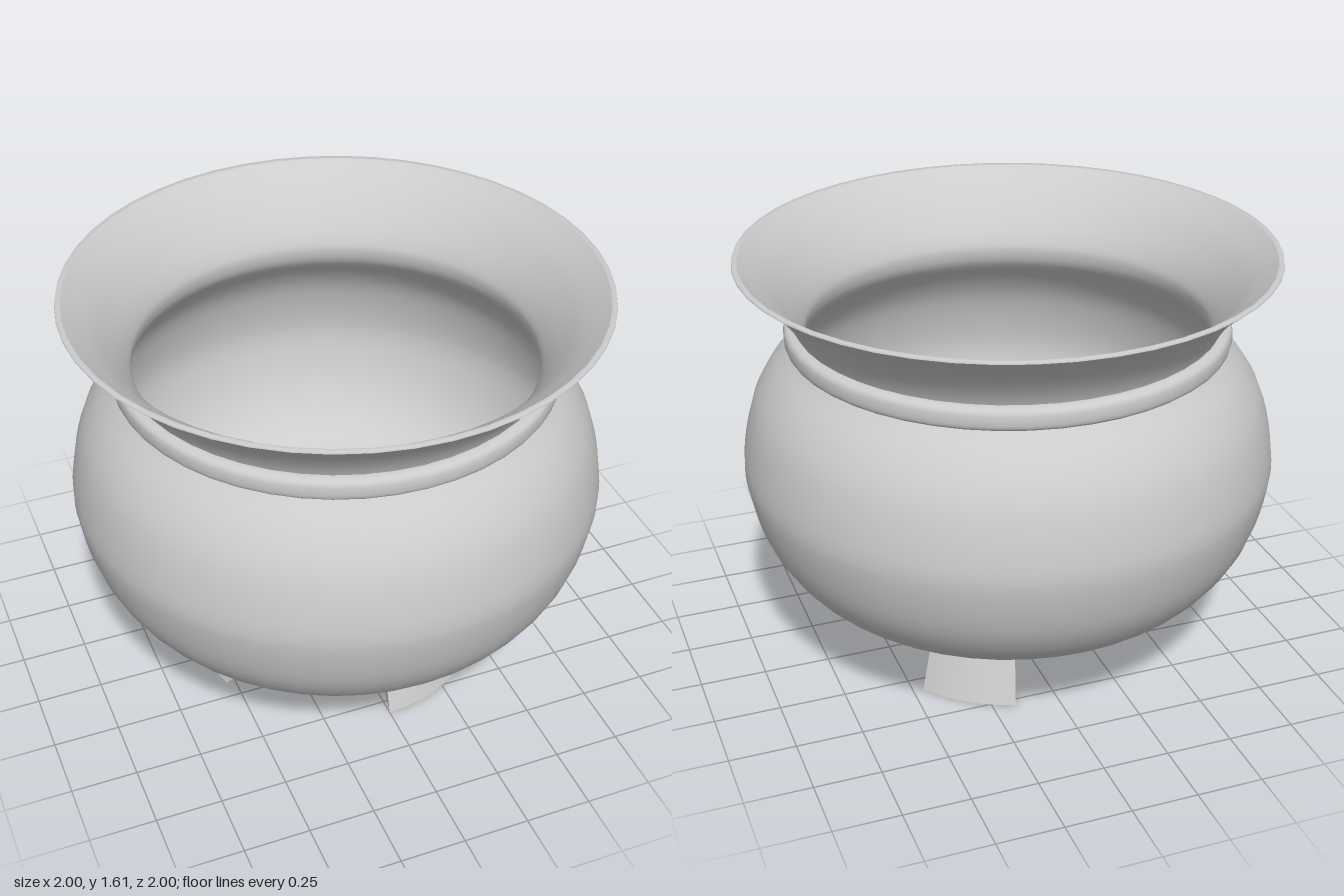
import * as THREE from 'three';
import { toCreasedNormals } from 'three/addons/utils/BufferGeometryUtils.js';

const material = new THREE.MeshStandardMaterial({ color: 0xcccccc, side: THREE.DoubleSide });
const SEGMENTS = 48;
const rad = THREE.MathUtils.degToRad;

// Smooth curve through [radius, height] pairs
function smooth(pairs, divisions) {
  return new THREE.SplineCurve(pairs.map(([r, y]) => new THREE.Vector2(r, y))).getPoints(divisions);
}

function lathe(name, points) {
  const mesh = new THREE.Mesh(new THREE.LatheGeometry(points, SEGMENTS), material);
  mesh.name = name;
  return mesh;
}

// Tapered wedge with a curved outer face, spreading towards the ground
function legGeometry() {
  const outer = 0.562, inner = 0.18, height = 0.28, half = rad(19), innerHalf = rad(16);
  const shape = new THREE.Shape();
  shape.moveTo(inner * Math.cos(innerHalf), -inner * Math.sin(innerHalf));
  shape.absarc(0, 0, outer, -half, half, false);
  shape.lineTo(inner * Math.cos(innerHalf), inner * Math.sin(innerHalf));
  shape.closePath();
  const geometry = new THREE.ExtrudeGeometry(shape, { depth: height, bevelEnabled: false, curveSegments: 6 });
  geometry.rotateX(-Math.PI / 2);
  const p = geometry.attributes.position;
  for (let i = 0; i < p.count; i++) {
    const s = 1 - 0.15 * p.getY(i) / height;
    p.setXYZ(i, p.getX(i) * s, p.getY(i), p.getZ(i) * s);
  }
  return toCreasedNormals(geometry, rad(30));
}

export function createModel() {
  const group = new THREE.Group();
  group.name = 'cauldron';

  // Round belly with a flat bottom
  group.add(lathe('belly', [
    new THREE.Vector2(0, 0.27),
    ...smooth([[0.53, 0.27], [0.68, 0.3], [0.83, 0.395], [0.94, 0.55], [0.995, 0.74], [0.997, 0.87],
      [0.955, 1.05], [0.88, 1.18], [0.785, 1.28], [0.775, 1.32]], 32),
  ]));

  // Flared collar, outside
  group.add(lathe('collar', smooth(
    [[0.775, 1.32], [0.79, 1.37], [0.83, 1.44], [0.9, 1.525], [0.995, 1.605]], 14)));

  // Thin lip edge
  group.add(lathe('lip', [
    new THREE.Vector2(0.995, 1.605), new THREE.Vector2(0.993, 1.614), new THREE.Vector2(0.975, 1.612),
  ]));

  // Hollow inside, from the lip through the throat to the floor
  group.add(lathe('inside', [
    ...smooth([[0.975, 1.612], [0.88, 1.535], [0.8, 1.44], [0.755, 1.36], [0.748, 1.31], [0.77, 1.25],
      [0.85, 1.16], [0.92, 1.04], [0.96, 0.87], [0.957, 0.74], [0.905, 0.57], [0.81, 0.43],
      [0.67, 0.34], [0.53, 0.31]], 44),
    new THREE.Vector2(0, 0.31),
  ]));

  // Rounded band around the neck
  group.add(lathe('neckBand', [
    new THREE.Vector2(0.76, 1.278),
    ...smooth([[0.79, 1.278], [0.813, 1.283], [0.825, 1.3], [0.825, 1.34], [0.813, 1.358], [0.79, 1.365]], 14),
    new THREE.Vector2(0.76, 1.365),
  ]));

  // Three legs around the base
  const geometry = legGeometry();
  [71, 181, -54].forEach((azimuth, i) => {
    const leg = new THREE.Mesh(geometry, material);
    leg.name = `leg${i + 1}`;
    leg.rotation.y = -rad(azimuth);
    group.add(leg);
  });

  return group;
}
